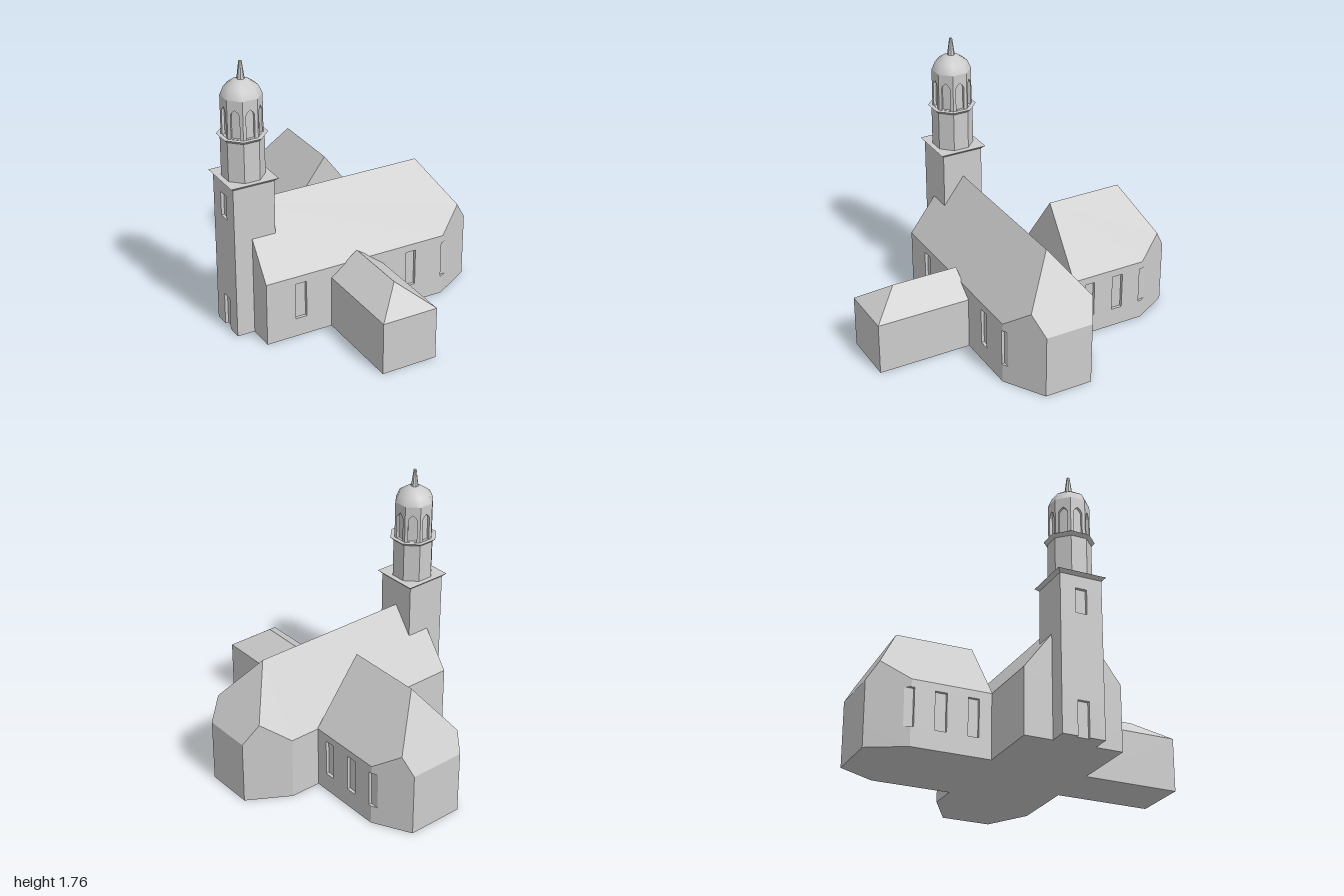
import * as THREE from 'three';

const stone = new THREE.MeshStandardMaterial({ color: 0xcccccc });
stone.name = 'pale stone';

function add(parent, name, geometry, x = 0, y = 0, z = 0) {
  const mesh = new THREE.Mesh(geometry, stone);
  mesh.name = name;
  mesh.position.set(x, y, z);
  parent.add(mesh);
  return mesh;
}

// Faceted copy of a geometry
function flat(geometry) {
  const g = geometry.index ? geometry.toNonIndexed() : geometry;
  g.computeVertexNormals();
  return g;
}

// Convex solid or shell from polygons, each turned to face away from centre
function polygons(faces, centre) {
  const out = [];
  const c = new THREE.Vector3(...centre);
  for (const face of faces) {
    let p = face.map((v) => new THREE.Vector3(...v));
    const n = p[1].clone().sub(p[0]).cross(p[2].clone().sub(p[0]));
    if (n.dot(p[0].clone().sub(c)) < 0) p = p.reverse();
    for (let i = 1; i < p.length - 1; i++) out.push(...p[0], ...p[i], ...p[i + 1]);
  }
  const g = new THREE.BufferGeometry();
  g.setAttribute('position', new THREE.Float32BufferAttribute(out, 3));
  g.computeVertexNormals();
  return g;
}

// Extrudes a floor plan of [x, z] points between two heights
function storey(plan, y0, y1) {
  const shape = new THREE.Shape(plan.map(([x, z]) => new THREE.Vector2(x, z)));
  const g = new THREE.ExtrudeGeometry(shape, { depth: y1 - y0, bevelEnabled: false });
  return g.rotateX(Math.PI / 2).translate(0, y1, 0);
}

const EAVE = 0.42, RIDGE = 0.84, SILL = 0.125, HEAD = 0.37, RECESS = 0.02;

// One long side of a hall plan, from start to polygonal end, with window recesses
function sidePlan(h, windows) {
  const inner = h.w - RECESS;
  const pts = [[h.start, h.w]];
  for (const [a, b] of windows) pts.push([a, h.w], [a, inner], [b, inner], [b, h.w]);
  if (windows.length) {
    // the last recess breaks through the corner
    const cut = h.shoulder + (RECESS * (h.end - h.shoulder)) / (h.w - h.endW);
    pts.push([h.corner, h.w], [h.corner, inner], [cut, inner]);
  } else pts.push([h.shoulder, h.w]);
  pts.push([h.end, h.endW]);
  return pts;
}

// Gabled hall along +x with a three-sided end and a clipped hip roof
function hall(name, h, front, back) {
  const group = new THREE.Group();
  group.name = name;
  const plan = (f, b) => [...sidePlan(h, f), ...sidePlan(h, b).map(([x, z]) => [x, -z]).reverse()];
  add(group, 'lowerWall', storey(plan([], []), 0, SILL));
  add(group, 'windowWall', storey(plan(front, back), SILL, HEAD));
  add(group, 'upperWall', storey(plan([], []), HEAD, EAVE));

  // where slope, hip and angled wall meet
  const t = (h.w - h.endW) / (h.end - h.shoulder);
  const drop = (RIDGE - EAVE) / h.w, hip = (RIDGE - EAVE) / (h.end - h.ridge);
  const px = (h.w * drop + t * h.shoulder * drop + h.ridge * hip) / (hip + t * drop);
  const pz = h.w - t * (px - h.shoulder), py = RIDGE - drop * pz;
  const r0 = [h.start, RIDGE, 0], r1 = [h.ridge, RIDGE, 0];
  const eave = (s) => [h.start, EAVE, s * h.w];
  const shoulder = (s) => [h.shoulder, EAVE, s * h.w];
  const peak = (s) => [px, py, s * pz];
  const end = (s) => [h.end, EAVE, s * h.endW];
  const faces = [[r1, peak(1), end(1), end(-1), peak(-1)], [r0, eave(1), eave(-1)]];
  for (const s of [1, -1]) {
    faces.push([r0, eave(s), shoulder(s), peak(s), r1]);
    faces.push([shoulder(s), end(s), peak(s)]);
  }
  add(group, 'roof', polygons(faces, [(h.start + h.ridge) / 2, EAVE + 0.05, 0]));
  return group;
}

// Regular prism whose flat sides face the axes; radii are half widths
function prism(sides, bottom, top, y0, y1) {
  const k = 1 / Math.cos(Math.PI / sides);
  const g = new THREE.CylinderGeometry(top * k, bottom * k, y1 - y0, sides);
  return flat(g.rotateY(Math.PI / sides).translate(0, (y0 + y1) / 2, 0));
}

function porch() {
  const group = new THREE.Group();
  group.name = 'porch';
  const x0 = -0.25, x1 = 0.12, xm = -0.065, z0 = 0.37, z1 = 1, y = 0.345;
  add(group, 'porchWalls', new THREE.BoxGeometry(x1 - x0, y, z1 - z0), xm, y / 2, (z0 + z1) / 2);
  const a = [xm, 0.485, z0], b = [xm, 0.485, 0.81];
  add(group, 'porchRoof', polygons([
    [a, b, [x0, y, z1], [x0, y, z0]],
    [a, b, [x1, y, z1], [x1, y, z0]],
    [b, [x0, y, z1], [x1, y, z1]],
    [a, [x0, y, z0], [x1, y, z0]],
  ], [xm, y + 0.03, 0.6]));
  return group;
}

function tower() {
  const group = new THREE.Group();
  group.name = 'tower';

  // Square shaft with a recessed door and window on its outer side
  const w = 0.137, n = 0.037;
  const square = [[-w, -w], [w, -w], [w, w], [-w, w]];
  const notched = [...square, [-w, n], [-w + RECESS, n], [-w + RECESS, -n], [-w, -n]];
  const levels = [0, 0.22, 0.77, 0.93, 1.01];
  for (let i = 0; i < 4; i++) {
    const name = ['doorStage', 'shaft', 'windowStage', 'shaftTop'][i];
    add(group, name, storey(i % 2 ? square : notched, levels[i], levels[i + 1]));
  }
  add(group, 'squareCornice', prism(4, w, 0.158, 1.01, 1.03));
  add(group, 'octagonStage', prism(8, 0.123, 0.123, 1.03, 1.285));
  add(group, 'octagonCornice', prism(8, 0.123, 0.143, 1.285, 1.305));

  // Lantern: eight panels with pointed openings around a solid core
  const a = 0.117, half = a * Math.tan(Math.PI / 8), y0 = 1.305, y1 = 1.552;
  const panel = new THREE.Shape();
  panel.moveTo(-half, y0).lineTo(half, y0).lineTo(half, y1).lineTo(-half, y1);
  const arch = new THREE.Path();
  arch.moveTo(-0.028, y0 + 0.002).lineTo(-0.028, 1.46).lineTo(-0.018, 1.477).lineTo(0, 1.493);
  arch.lineTo(0.018, 1.477).lineTo(0.028, 1.46).lineTo(0.028, y0 + 0.002);
  panel.holes.push(arch);
  const panelGeometry = new THREE.ExtrudeGeometry(panel, { depth: 0.02, bevelEnabled: false });
  panelGeometry.translate(0, 0, a - 0.02);
  for (let i = 0; i < 8; i++) {
    add(group, 'lanternPanel', panelGeometry).rotation.y = (i * Math.PI) / 4;
  }
  add(group, 'lanternCore', prism(8, a - 0.018, a - 0.018, y0, y1));

  // Dome and spire
  const k = 1 / Math.cos(Math.PI / 8);
  const profile = [[a, y1], [0.096, 1.605], [0.052, 1.638], [0.02, 1.651], [0, 1.652]];
  const dome = new THREE.LatheGeometry(profile.map(([r, y]) => new THREE.Vector2(r * k, y)), 8);
  add(group, 'dome', dome.rotateY(Math.PI / 8));
  add(group, 'spire', prism(8, 0.023, 0.009, 1.645, 1.76));
  return group;
}

export function createModel() {
  const model = new THREE.Group();
  model.name = 'church';

  const nave = hall('nave',
    { start: -0.7, shoulder: 0.565, end: 0.83, ridge: 0.54, w: 0.315, endW: 0.16, corner: 0.555 },
    [[-0.5, -0.425], [0.29, 0.36]], []);
  nave.position.z = 0.065;
  model.add(nave);

  const sideWindows = [[0.33, 0.4], [0.535, 0.61]];
  const transept = hall('transept',
    { start: 0.245, shoulder: 0.76, end: 1, ridge: 0.75, w: 0.313, endW: 0.185, corner: 0.74 },
    sideWindows, sideWindows);
  transept.rotation.y = Math.PI / 2;
  transept.position.x = 0.05;
  model.add(transept);

  model.add(porch());
  const bellTower = tower();
  bellTower.position.set(-0.68, 0, 0.068);
  model.add(bellTower);
  return model;
}
